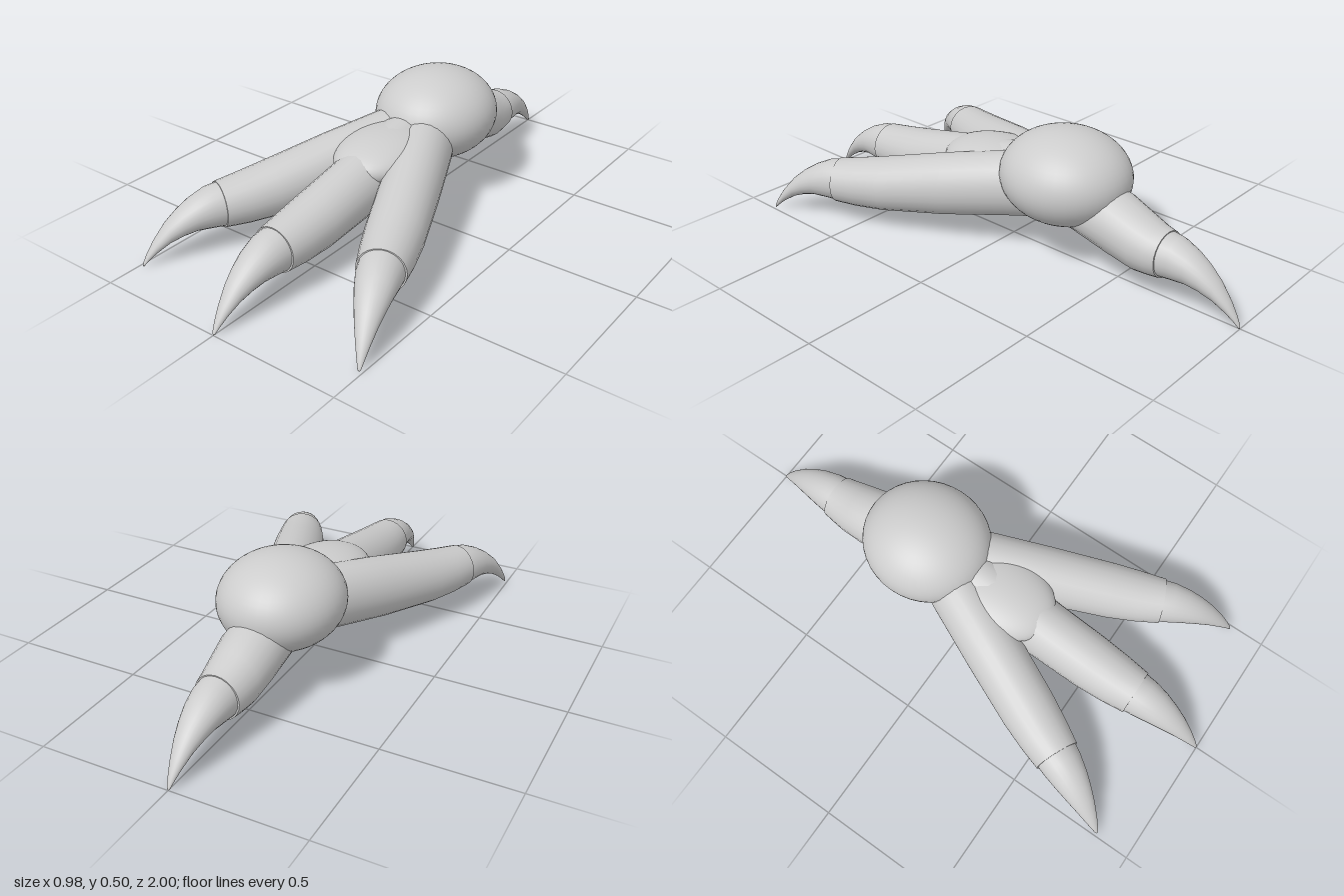
import * as THREE from 'three';

const SIDES = 24;

// Smooth skin over elliptical cross-sections [z, centre y, radius x, radius y], ordered along +z
function loft(sections) {
  const positions = [];
  const index = [];
  sections.forEach(([z, cy, rx, ry], i) => {
    for (let j = 0; j < SIDES; j++) {
      const a = (j / SIDES) * Math.PI * 2;
      positions.push(rx * Math.cos(a), cy + ry * Math.sin(a), z);
      if (i === sections.length - 1) continue;
      const k = (j + 1) % SIDES;
      const p = i * SIDES + j, q = i * SIDES + k;
      index.push(p, q, p + SIDES, q, q + SIDES, p + SIDES);
    }
  });
  const g = new THREE.BufferGeometry();
  g.setAttribute('position', new THREE.Float32BufferAttribute(positions, 3));
  g.setIndex(index);
  g.computeVertexNormals();
  return g;
}

// Toe profiles end at z = 0, where the claw begins; the repeated ring keeps a crisp rim
const RIM = [[0, 0.172, 0.087, 0.086], [0, 0.172, 0.087, 0.086], [0, 0.172, 0.01, 0.01]];
const FRONT_TOE = [
  [-0.92, 0.27, 0.02, 0.02],
  [-0.9, 0.27, 0.1, 0.11],
  [-0.7, 0.261, 0.11, 0.125],
  [-0.45, 0.222, 0.11, 0.121],
  [-0.2, 0.186, 0.106, 0.106],
  [-0.09, 0.176, 0.098, 0.096],
  ...RIM,
];
const BACK_TOE = [
  [-0.42, 0.258, 0.02, 0.02],
  [-0.4, 0.258, 0.115, 0.1],
  [-0.2, 0.219, 0.114, 0.115],
  [-0.1, 0.186, 0.104, 0.106],
  [-0.04, 0.175, 0.094, 0.093],
  ...RIM,
];
const CLAW = [
  [-0.02, 0.173, 0.083, 0.084],
  [0.04, 0.172, 0.077, 0.077],
  [0.1, 0.161, 0.066, 0.062],
  [0.15, 0.141, 0.054, 0.051],
  [0.2, 0.112, 0.04, 0.039],
  [0.25, 0.068, 0.024, 0.025],
  [0.28, 0.034, 0.013, 0.015],
  [0.297, 0.01, 0.006, 0.007],
  [0.3, 0.004, 0.0005, 0.0005],
];

export function createModel() {
  const model = new THREE.Group();
  model.name = 'clawedFoot';
  const skin = new THREE.MeshStandardMaterial({ color: 0xcccccc });
  skin.name = 'light grey';

  const add = (parent, name, geometry) => {
    const mesh = new THREE.Mesh(geometry, skin);
    mesh.name = name;
    parent.add(mesh);
    return mesh;
  };

  // Rounded ankle and the web joining the front toes
  const ball = new THREE.SphereGeometry(1, 40, 28);
  const ankle = add(model, 'ankle', ball);
  ankle.scale.set(0.232, 0.175, 0.25);
  ankle.position.set(0, 0.332, -0.25);
  const web = add(model, 'web', ball);
  web.scale.set(0.17, 0.088, 0.24);
  web.position.set(0, 0.287, 0.07);

  // Toes with curved claws
  const frontToe = loft(FRONT_TOE);
  const backToe = loft(BACK_TOE);
  const claw = loft(CLAW);
  const toes = [
    ['middleToe', 0, 0.7, 0, frontToe],
    ['leftToe', 0.365, 0.59, 0.42, frontToe],
    ['rightToe', -0.365, 0.59, -0.42, frontToe],
    ['backToe', 0, -0.7, Math.PI, backToe],
  ];
  for (const [name, x, z, yaw, geometry] of toes) {
    const toe = new THREE.Group();
    toe.name = name;
    add(toe, name + 'Flesh', geometry);
    add(toe, name + 'Claw', claw);
    toe.position.set(x, 0, z);
    toe.rotation.y = yaw;
    model.add(toe);
  }
  return model;
}
